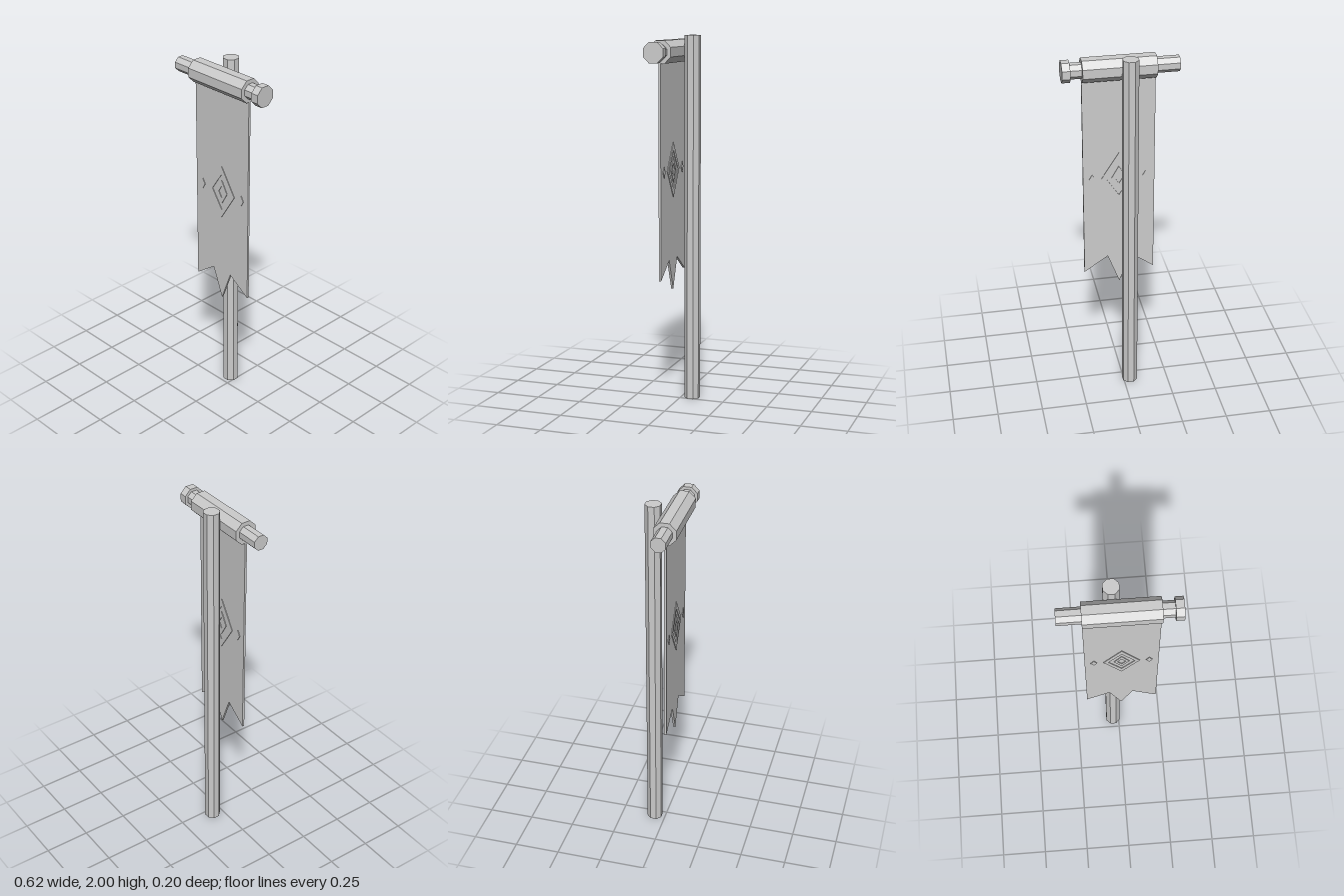
import * as THREE from 'three';

const grey = new THREE.MeshStandardMaterial({ color: 0xcccccc, flatShading: true });
grey.name = 'plain grey';

export function createModel() {
  const group = new THREE.Group();
  const add = (name, geometry, x, y, z) => {
    const mesh = new THREE.Mesh(geometry, grey);
    mesh.name = name;
    mesh.position.set(x, y, z);
    group.add(mesh);
  };

  // Octagonal prism along y, flat sides squared to the axes
  const octagon = (halfWidth, length) => {
    const r = halfWidth / Math.cos(Math.PI / 8);
    return new THREE.CylinderGeometry(r, r, length, 8).rotateY(Math.PI / 8);
  };

  // Upright pole
  add('pole', octagon(0.0405, 2), -0.035, 1, -0.061);

  // Crossbar: rod, rolled sleeve and end knob
  const bar = (name, x0, x1, halfWidth) =>
    add(name, octagon(halfWidth, x1 - x0).rotateZ(Math.PI / 2), (x0 + x1) / 2, 1.916, 0.0395);
  bar('crossbarRod', -0.308, 0.27, 0.039);
  bar('bannerSleeve', -0.185, 0.203, 0.06);
  bar('endKnob', 0.264, 0.307, 0.054);

  // Flat shapes extruded evenly about their middle plane
  const slab = (shape, depth) =>
    new THREE.ExtrudeGeometry(shape, { depth, bevelEnabled: false }).translate(0, 0, -depth / 2);
  const points = (list) => list.map(([x, y]) => new THREE.Vector2(x, y));

  // Hanging cloth with a three-pointed hem
  const cloth = new THREE.Shape(points([
    [-0.185, 1.88], [-0.185, 0.7], [-0.058, 0.79], [0.007, 0.62],
    [0.072, 0.79], [0.203, 0.7], [0.203, 1.88],
  ]));
  add('bannerCloth', slab(cloth, 0.012), 0, 0, 0.042);

  // Raised emblem, standing out on both sides of the cloth
  const diamond = (w, h) => points([[w, 0], [0, h], [-w, 0], [0, -h]]);
  const ring = (w, h, innerW, innerH) => {
    const shape = new THREE.Shape(diamond(w, h));
    shape.holes.push(new THREE.Path(diamond(innerW, innerH)));
    return slab(shape, 0.019);
  };
  add('emblemOuterDiamond', ring(0.095, 0.15, 0.07, 0.105), 0.009, 1.28, 0.042);
  add('emblemInnerDiamond', ring(0.04, 0.07, 0.022, 0.035), 0.009, 1.28, 0.042);
  for (const side of [-1, 1]) {
    add('emblemSideDiamond', slab(new THREE.Shape(diamond(0.017, 0.03)), 0.019),
      0.009 + side * 0.145, 1.28, 0.042);
  }
  return group;
}
